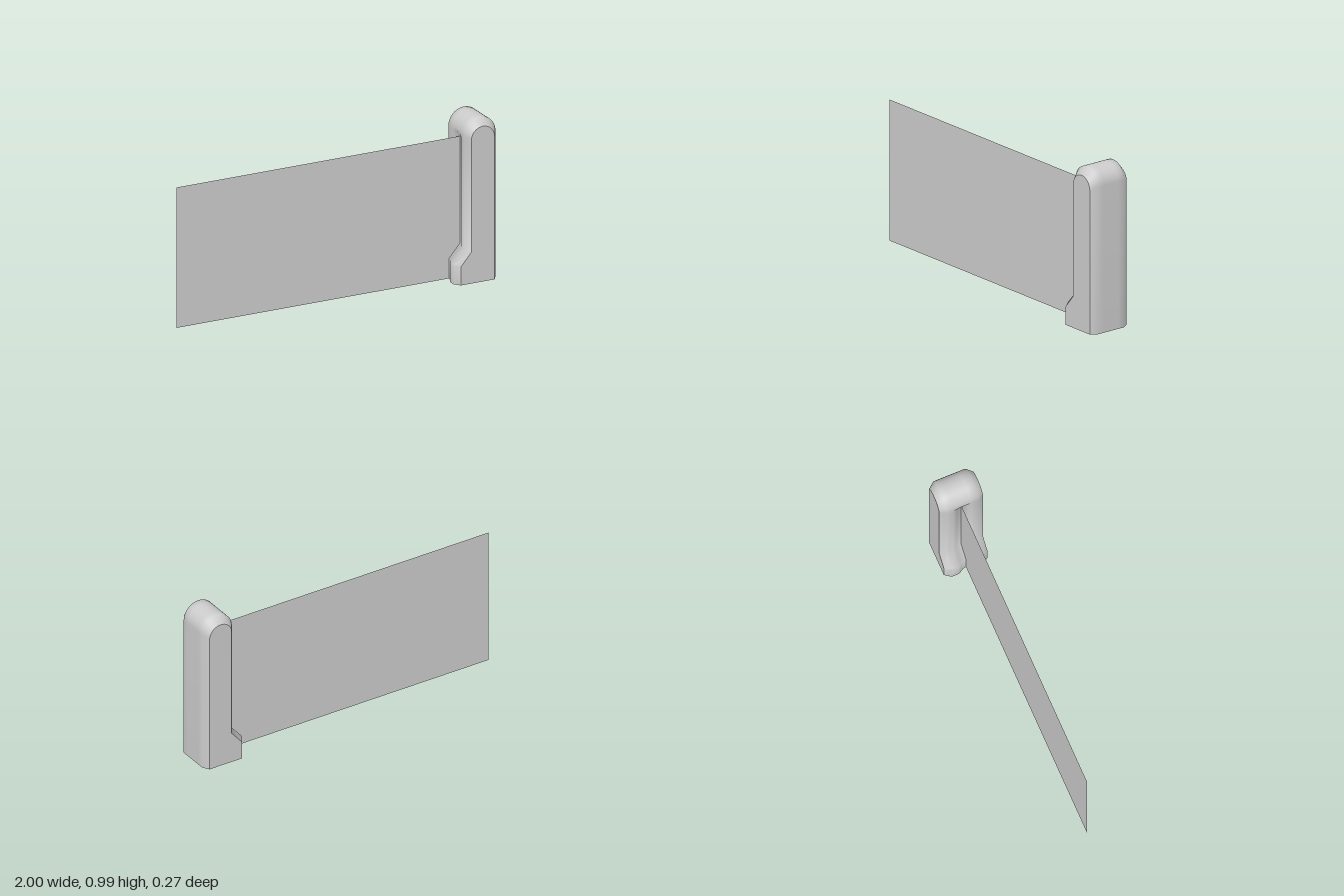
import * as THREE from 'three';
import { toCreasedNormals } from 'three/addons/utils/BufferGeometryUtils.js';

// Profile stations: outer point, inner (bevelled face) point, groove depth
function postStations() {
  const rows = [
    [0.73, 0, 0.757, 0, 0.022],
    [0.73, 0.12, 0.757, 0.11, 0.022],
    [0.8, 0.2, 0.825, 0.19, 0.022],
    [0.8, 0.85, 0.825, 0.845, 0.022],
  ];
  const n = 20;
  for (let i = 0; i <= n; i++) {
    const a = Math.PI * (1 - i / n), c = Math.cos(a), s = Math.sin(a);
    rows.push([0.9 + 0.1 * c, 0.885 + 0.1 * s, 0.9 + 0.075 * c, 0.865 + 0.075 * s, 0]);
  }
  rows.push([1, 0, 0.975, 0, 0]);
  return rows;
}

// Columns across the depth: z, bevel amount, groove amount
const half = [[0.135, 1, 0], [0.097, 0, 0], [0.055, 0, 0], [0.04, 0, 0.3], [0.02, 0, 0.85]];
const columns = [...half, [0, 0, 1], ...half.slice().reverse().map(([z, b, g]) => [-z, b, g])];

function shapeOf(points) {
  return new THREE.ShapeGeometry(new THREE.Shape(points.map(([x, y]) => new THREE.Vector2(x, y))));
}

export function createModel() {
  const group = new THREE.Group();
  const grey = new THREE.MeshStandardMaterial({ color: 0xcccccc });
  const add = (name, geometry, material = grey) => {
    const mesh = new THREE.Mesh(geometry, material);
    mesh.name = name;
    group.add(mesh);
  };

  // Post side surface: bevelled rounded profile with a slot groove on the panel side
  const rows = postStations();
  const grid = rows.map(([ox, oy, ix, iy, groove]) => columns.map(([z, b, g]) =>
    [ox + (ix - ox) * b + groove * g, oy + (iy - oy) * b, z]));
  const w = columns.length, index = [];
  for (let i = 0; i < rows.length - 1; i++) {
    for (let j = 0; j < w - 1; j++) {
      const a = i * w + j;
      index.push(a, a + w, a + 1, a + 1, a + w, a + w + 1);
    }
  }
  const side = new THREE.BufferGeometry();
  side.setAttribute('position', new THREE.Float32BufferAttribute(grid.flat(2), 3));
  side.setIndex(index);
  add('postSides', toCreasedNormals(side, 0.9));

  // Flat front and back faces of the post
  for (const s of [1, -1]) {
    const face = shapeOf(rows.map((r) => [s * r[2], r[3]]));
    if (s < 0) face.rotateY(Math.PI);
    face.translate(0, 0, s * 0.135);
    add(s > 0 ? 'postFrontFace' : 'postBackFace', face);
  }

  // Underside of the post
  const outline = [...grid[0], ...grid[grid.length - 1].slice().reverse()].map(([x, , z]) => [x, z]);
  add('postBase', shapeOf(outline).rotateX(Math.PI / 2));

  // Thin panel running into the post
  const panel = new THREE.PlaneGeometry(1.9, 0.85).translate(-0.05, 0.425, 0);
  add('panel', panel, new THREE.MeshStandardMaterial({ color: 0xcccccc, side: THREE.DoubleSide }));

  return group;
}
